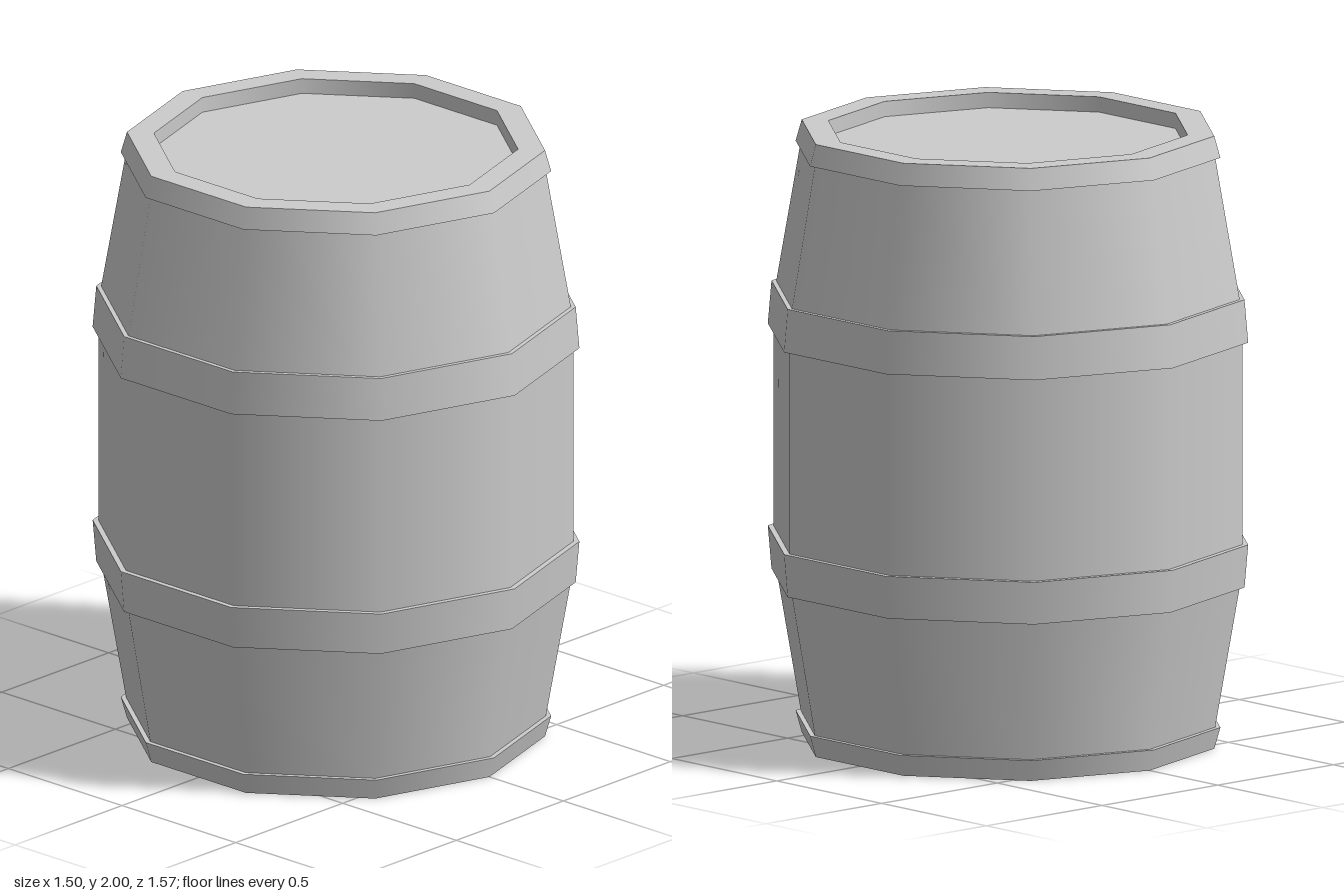
import * as THREE from 'three';
import { mergeGeometries } from 'three/addons/utils/BufferGeometryUtils.js';

const SIDES = 10;
const HEIGHT = 2;

// Revolves a [radius, y] profile; each span is its own ring, so edges
// along the profile stay sharp while shading runs smoothly around.
function revolve(name, profile, material) {
  const rings = [];
  for (let i = 0; i < profile.length - 1; i++) {
    const span = [profile[i], profile[i + 1]].map(([r, y]) => new THREE.Vector2(r, y));
    rings.push(new THREE.LatheGeometry(span, SIDES));
  }
  const mesh = new THREE.Mesh(mergeGeometries(rings), material);
  mesh.name = name;
  return mesh;
}

// Upside-down copy of a profile, reversed to keep faces outward.
const flip = (profile) => profile.map(([r, y]) => [r, HEIGHT - y]).reverse();

export function createModel() {
  const barrel = new THREE.Group();
  barrel.name = 'barrel';
  const material = new THREE.MeshStandardMaterial({ color: 0xcccccc });

  // Bulging wall of staves
  const lowerWall = [[0.678, 0.07], [0.767, 0.58]];
  barrel.add(revolve('staves', [...lowerWall, ...flip(lowerWall)], material));

  // Lower profiles; the upper parts are their mirror images
  const parts = {
    // Recessed lid and the wall of its recess
    Head: [[0, 0.05], [0.588, 0.05], [0.588, 0]],
    // Flat rim with a flared hoop around the end
    Rim: [[0.588, 0], [0.675, 0], [0.695, 0.07], [0.67, 0.07]],
    // Wide hoop around the belly
    Hoop: [[0.75, 0.53], [0.774, 0.53], [0.786, 0.67], [0.76, 0.67]],
  };
  for (const [part, profile] of Object.entries(parts)) {
    barrel.add(revolve('bottom' + part, profile, material));
    barrel.add(revolve('top' + part, flip(profile), material));
  }
  return barrel;
}
